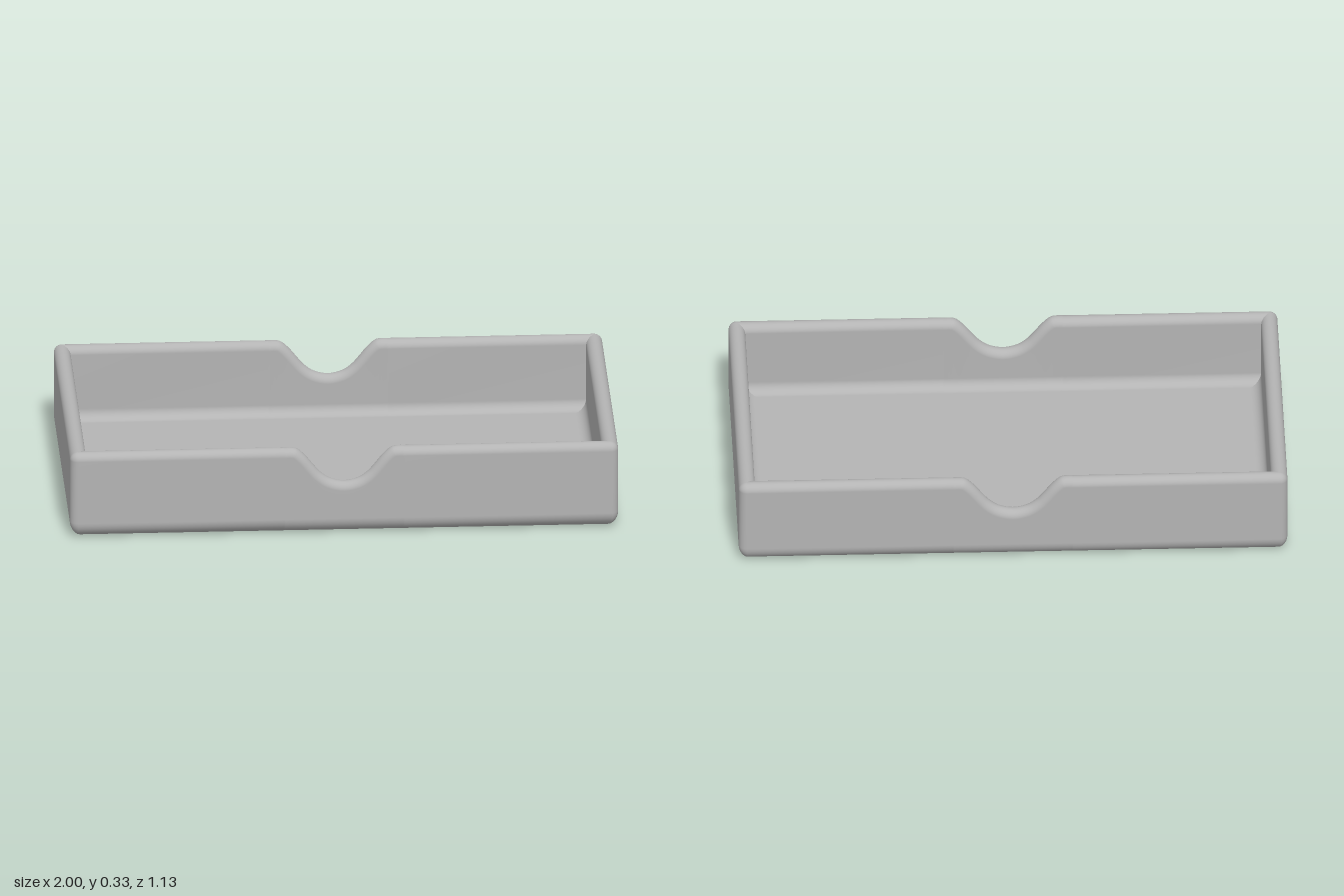
import * as THREE from 'three';

const W = 1, D = 0.565, H = 0.33;          // half width, half depth, height
const WALL = 0.06, CORNER = 0.03, FLOOR = 0.05;
const BASE_R = 0.06, COVE = 0.04, RIM = WALL / 2;

// Stations around the tray: corner arcs plus the finger notches in the long walls
function makeStations() {
  const half = [[0.19, H], [0.168, 0.323], [0.14, 0.297], [0.11, 0.26], [0.085, 0.232], [0.05, 0.208]];
  const left = half.map(([x, y]) => new THREE.Vector2(x, y));
  const right = half.map(([x, y]) => new THREE.Vector2(-x, y)).reverse();
  const curve = new THREE.SplineCurve([new THREE.Vector2(0.22, H), ...left, new THREE.Vector2(0, 0.197), ...right, new THREE.Vector2(-0.22, H)]);
  const notch = [];
  for (let i = 0; i <= 56; i++) {
    const p = curve.getPoint(i / 56), t = curve.getTangent(i / 56);
    notch.push({ x: p.x, top: p.y, nx: t.y, ny: -t.x });
  }
  const stations = [];
  for (let c = 0; c < 4; c++) {
    const sx = c === 0 || c === 3 ? 1 : -1, sz = c < 2 ? 1 : -1;
    for (let i = 0; i <= 6; i++) {
      const a = (c + i / 6) * Math.PI / 2;
      stations.push({ sx, sz, cos: Math.cos(a), sin: Math.sin(a) });
    }
    if (c === 0) notch.forEach(n => stations.push({ ...n, sz: 1 }));
    if (c === 2) notch.slice().reverse().forEach(n => stations.push({ ...n, sz: -1 }));
  }
  return stations;
}

// Wall section from the underside, over the rim, down to the floor
function makeProfile() {
  const rows = [{ inset: D, y: 0 }];
  const arc = (n, f) => { for (let i = 0; i <= n; i++) f(i / n * Math.PI / 2); };
  arc(8, a => rows.push({ inset: BASE_R * (1 - Math.sin(a)), y: BASE_R * (1 - Math.cos(a)) }));
  for (let i = 0; i <= 14; i++) {
    const a = i / 14 * Math.PI;
    rows.push({ inset: RIM * (1 - Math.cos(a)), drop: RIM * (1 - Math.sin(a)) });
  }
  arc(6, a => rows.push({ inset: WALL + COVE * (1 - Math.cos(a)), y: FLOOR + COVE * (1 - Math.sin(a)) }));
  rows.push({ inset: D, y: FLOOR });
  return rows;
}

function place(s, row) {
  const isRim = row.drop !== undefined;
  if (s.top !== undefined) {
    // rim rounding follows the slope of the notch
    const x = isRim ? s.x - s.nx * row.drop : s.x;
    const y = isRim ? s.top - s.ny * row.drop : row.y;
    return [x, y, s.sz * (D - row.inset)];
  }
  const m = Math.max(CORNER, row.inset), r = Math.max(0, CORNER - row.inset);
  return [s.sx * (W - m) + r * s.cos, isRim ? H - row.drop : row.y, s.sz * (D - m) + r * s.sin];
}

export function createModel() {
  const grey = new THREE.MeshStandardMaterial({ color: 0xb4b4b4 });
  grey.name = 'plain grey';

  const stations = makeStations(), profile = makeProfile();
  const n = stations.length, pos = [], index = [];
  for (const row of profile) for (const s of stations) pos.push(...place(s, row));
  for (let j = 0; j < profile.length - 1; j++) {
    for (let i = 0; i < n; i++) {
      const a = j * n + i, b = j * n + (i + 1) % n;
      index.push(a, a + n, b, b, a + n, b + n);
    }
  }
  const geo = new THREE.BufferGeometry();
  geo.setAttribute('position', new THREE.Float32BufferAttribute(pos, 3));
  geo.setIndex(index);
  geo.computeVertexNormals();

  const tray = new THREE.Mesh(geo, grey);
  tray.name = 'tray';
  const model = new THREE.Group();
  model.name = 'notchedTray';
  model.add(tray);
  return model;
}
